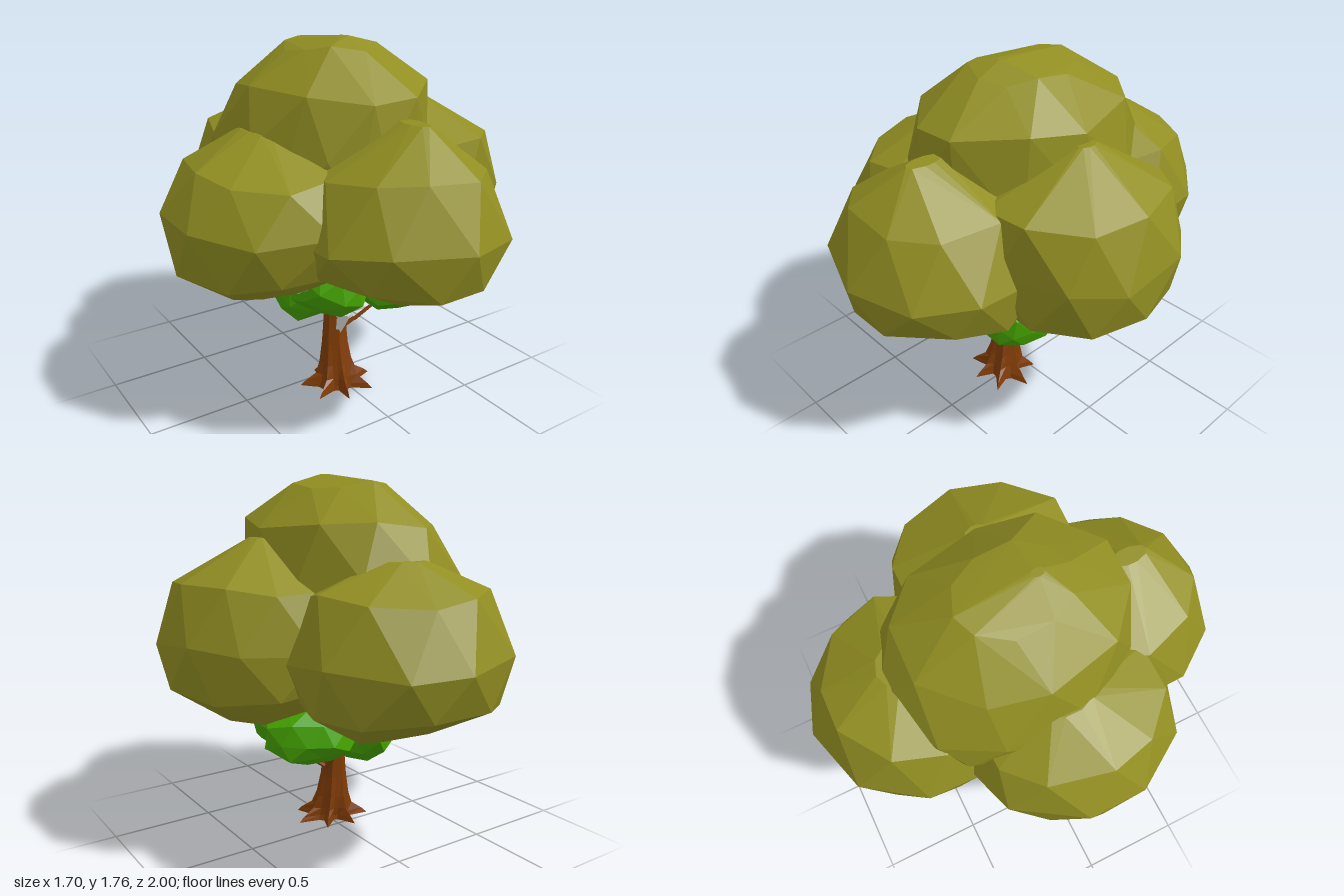
import * as THREE from 'three';
import { ConvexGeometry } from 'three/addons/geometries/ConvexGeometry.js';

const mat = (color) => new THREE.MeshStandardMaterial({ color, flatShading: true });
const OLIVE = mat(0x918e22), GREEN = mat(0x45a300), BARK = mat(0x803c06), GREY = mat(0xcccccc);

// Big canopy lump: hull over level rings, each [y, centre x, centre z, radius x, radius z]
function crown(name, seed, rings) {
  const pts = [], sides = 10, step = Math.PI * 2 / sides;
  rings.forEach(([y, cx, cz, rx, rz], j) => {
    for (let i = 0; i < sides; i++) {
      const wobble = Math.sin(seed * 3.7 + i * 2.3 + j * 1.9);
      const t = (i + 0.5 + (j % 2) / 2) * step + 0.06 * wobble;
      const lift = j < rings.length - 1 ? 0.02 * Math.sin(seed + i * 1.7 + j) : 0;
      pts.push(new THREE.Vector3(cx + rx * 1.03 * Math.cos(t), y + lift, cz + rz * Math.sin(t)));
    }
  });
  const mesh = new THREE.Mesh(new ConvexGeometry(pts), OLIVE);
  mesh.name = name;
  return mesh;
}

// Repeatable bump from a position, so shared corners stay together
const bump = (x, y, z, s) => Math.sin(x * 5.1 + s * 1.7) * Math.sin(y * 4.3 + s * 2.9) * Math.sin(z * 4.7 + s);

// Small leaf cluster with a flattened underside, fitted to the box lo..hi
function cluster(name, material, lo, hi, seed) {
  const geo = new THREE.IcosahedronGeometry(1, 1);
  geo.rotateY(seed * 1.3).rotateX(0.2 * Math.sin(seed * 2));
  const p = geo.attributes.position;
  for (let i = 0; i < p.count; i++) {
    const x = p.getX(i), y = p.getY(i), z = p.getZ(i);
    const r = 1 + 0.15 * bump(x, y, z, seed);
    p.setXYZ(i, x * r, (y < 0 ? -0.72 * Math.pow(-y, 0.9) : y) * r, z * r);
  }
  geo.computeBoundingBox();
  const b = geo.boundingBox;
  const fit = (v, a, c, k) => lo[k] + (v - a) / (c - a) * (hi[k] - lo[k]);
  for (let i = 0; i < p.count; i++) {
    p.setXYZ(i, fit(p.getX(i), b.min.x, b.max.x, 0), fit(p.getY(i), b.min.y, b.max.y, 1),
      fit(p.getZ(i), b.min.z, b.max.z, 2));
  }
  geo.computeVertexNormals();
  const mesh = new THREE.Mesh(geo, material);
  mesh.name = name;
  return mesh;
}

// Tapered five-sided limb between two points
function limb(name, material, a, b, r0, r1) {
  const from = new THREE.Vector3(...a), dir = new THREE.Vector3(...b).sub(from);
  const len = dir.length();
  const geo = new THREE.CylinderGeometry(r1, r0, len, 5).translate(0, len / 2, 0);
  const mesh = new THREE.Mesh(geo, material);
  mesh.name = name;
  mesh.position.copy(from);
  mesh.quaternion.setFromUnitVectors(new THREE.Vector3(0, 1, 0), dir.normalize());
  return mesh;
}

// Trunk: stacked rings that spread into seven roots at the ground
function trunk() {
  // height, centre x, centre z, radius, root depth
  const rings = [
    [0, -0.03, 0.115, 0.12, 0.5], [0.025, -0.03, 0.115, 0.108, 0.45], [0.065, -0.03, 0.11, 0.088, 0.2],
    [0.13, -0.03, 0.1, 0.077, 0.1], [0.24, -0.03, 0.09, 0.063, 0.06],
    [0.38, -0.025, 0.078, 0.052, 0.06], [0.62, -0.02, 0.065, 0.045, 0.05],
  ];
  const N = 21, pos = [], idx = [];
  rings.forEach(([y, cx, cz, r, d], j) => {
    for (let i = 0; i < N; i++) {
      const t = i / N * Math.PI * 2;
      const k = r * (1 + d * Math.cos(7 * t) + 0.25 * d * Math.sin(2 * t + 1));
      pos.push(cx + k * Math.cos(t), y, cz + k * Math.sin(t));
      const n = (i + 1) % N, a = j * N;
      if (j < rings.length - 1) idx.push(a + i, a + N + i, a + n, a + n, a + N + i, a + N + n);
    }
  });
  // Underside
  pos.push(-0.03, 0.01, 0.115);
  for (let i = 0; i < N; i++) idx.push(rings.length * N, i, (i + 1) % N);
  const geo = new THREE.BufferGeometry();
  geo.setAttribute('position', new THREE.Float32BufferAttribute(pos, 3));
  geo.setIndex(idx);
  geo.computeVertexNormals();
  const mesh = new THREE.Mesh(geo, BARK);
  mesh.name = 'trunk';
  return mesh;
}

export function createModel() {
  const tree = new THREE.Group();
  tree.name = 'tree';

  // Outer canopy
  const canopy = new THREE.Group();
  canopy.name = 'canopy';
  canopy.add(
    crown('canopyFront', 1, [
      [0.69, 0.06, 0.44, 0.26, 0.27], [0.81, 0.03, 0.5, 0.42, 0.44], [1.0, 0.01, 0.5, 0.49, 0.5],
      [1.26, 0.01, 0.5, 0.36, 0.39], [1.45, 0.03, 0.58, 0.04, 0.09]]),
    crown('canopyBack', 2, [
      [0.64, 0.03, -0.45, 0.2, 0.17], [0.79, 0.03, -0.5, 0.44, 0.44], [1.0, 0.03, -0.5, 0.49, 0.5],
      [1.26, 0.03, -0.5, 0.39, 0.38], [1.4, 0.03, -0.52, 0.1, 0.1]]),
    crown('canopyLeft', 3, [
      [0.68, 0.37, 0.05, 0.24, 0.24], [0.82, 0.42, 0.06, 0.41, 0.43], [1.03, 0.4, 0.05, 0.46, 0.48],
      [1.28, 0.4, 0.06, 0.37, 0.44], [1.48, 0.42, 0.03, 0.03, 0.05]]),
    crown('canopyRight', 4, [
      [0.68, -0.4, 0.08, 0.24, 0.26], [0.8, -0.42, 0.08, 0.41, 0.44], [1.03, -0.4, 0.09, 0.46, 0.52],
      [1.23, -0.42, 0.09, 0.32, 0.43], [1.38, -0.41, 0.05, 0.07, 0.12]]),
    crown('canopyTop', 5, [
      [0.9, -0.04, -0.04, 0.38, 0.46], [1.12, -0.045, -0.06, 0.48, 0.59], [1.3, -0.04, -0.06, 0.46, 0.59],
      [1.54, 0, 0, 0.4, 0.52], [1.71, 0, 0, 0.2, 0.26], [1.76, 0, 0.11, 0.02, 0.03]]),
  );

  // Smaller leaf clusters under the canopy
  const leaves = new THREE.Group();
  leaves.name = 'innerLeaves';
  leaves.add(
    cluster('leafClusterBackRight', GREEN, [-0.28, 0.36, -0.24], [0.1, 0.74, 0.12], 6),
    cluster('leafClusterFrontLeft', GREEN, [0.02, 0.42, 0.0], [0.37, 0.76, 0.4], 7),
    cluster('leafClusterBackLeft', GREEN, [-0.02, 0.41, -0.29], [0.44, 0.76, 0.15], 8),
    cluster('leafClusterFrontRight', GREEN, [-0.31, 0.49, -0.05], [0.05, 0.84, 0.41], 9),
    cluster('leafClusterMiddle', GREEN, [-0.2, 0.46, -0.2], [0.22, 0.8, 0.22], 10),
    cluster('greyLeafCluster', GREY, [-0.37, 0.58, -0.1], [0.12, 0.84, 0.36], 11),
  );

  // Limbs
  const limbs = new THREE.Group();
  limbs.name = 'branches';
  limbs.add(
    limb('branchLeft', BARK, [0.0, 0.28, 0.07], [0.08, 0.335, 0.1], 0.014, 0.011),
    limb('branchLeftTip', BARK, [0.08, 0.33, 0.1], [0.22, 0.44, 0.15], 0.011, 0.008),
    limb('branchBack', BARK, [0.03, 0.29, 0.07], [0.04, 0.42, -0.07], 0.011, 0.008),
    limb('branchRight', BARK, [-0.03, 0.5, 0.07], [-0.28, 0.66, -0.13], 0.018, 0.012),
    limb('greyBranchBase', GREY, [-0.035, 0.3, 0.12], [-0.01, 0.41, 0.14], 0.02, 0.042),
    limb('greyBranchStem', GREY, [-0.01, 0.4, 0.135], [-0.025, 0.55, 0.15], 0.035, 0.012),
    limb('greyBranchTwigLeft', GREY, [-0.01, 0.38, 0.13], [0.06, 0.45, 0.15], 0.02, 0.008),
    limb('greyBranchTwigRight', GREY, [-0.02, 0.37, 0.13], [-0.07, 0.43, 0.15], 0.02, 0.008),
  );

  tree.add(canopy, leaves, limbs, trunk());
  return tree;
}
